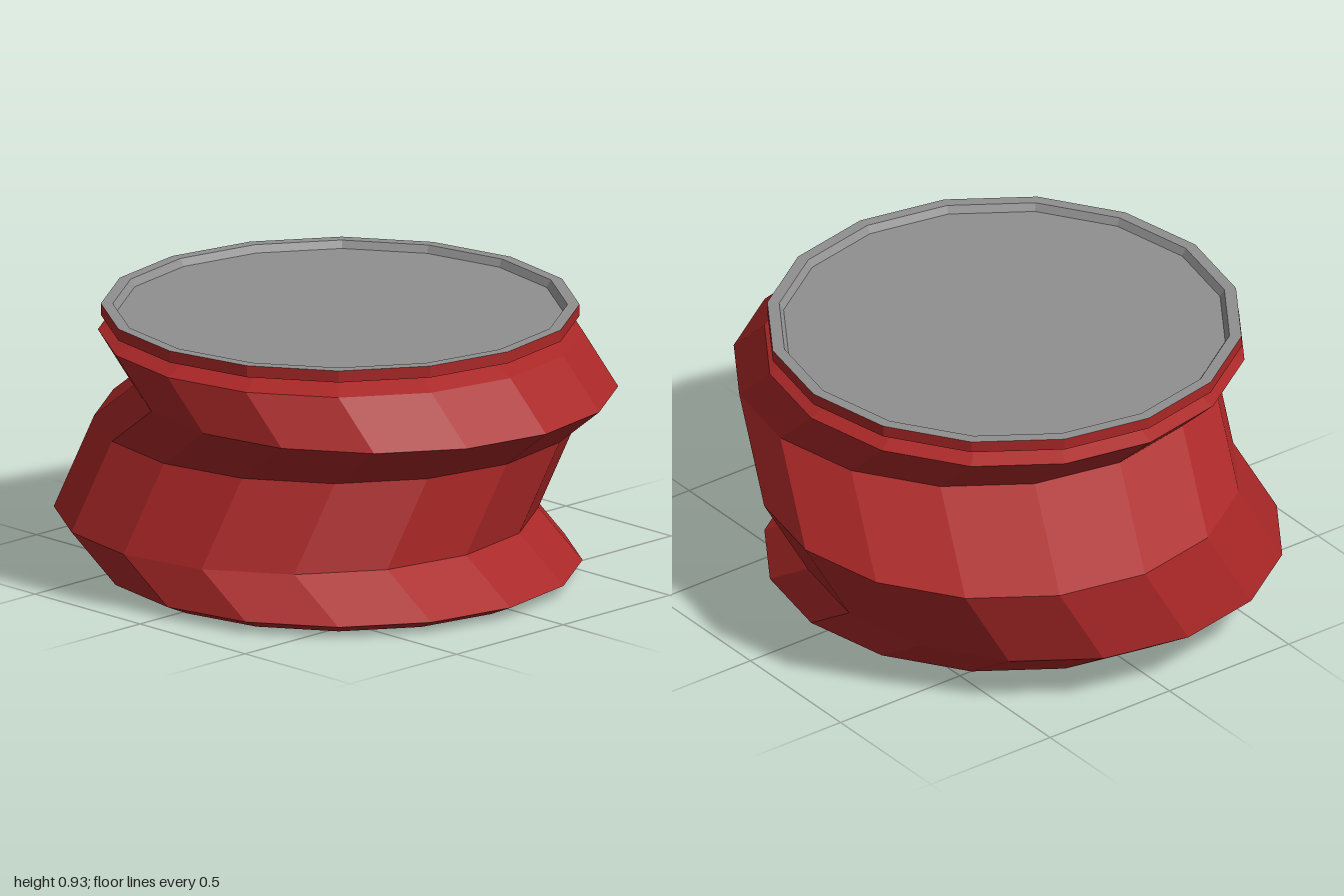
import * as THREE from 'three';

const SIDES = 16;
const R = 0.81;

// Surface through a stack of 16-sided rings, each [x, y, z, radius], bottom to top
function loft(rings) {
  const pos = [];
  const point = ([x, y, z, r], i) => {
    const a = (i / SIDES) * Math.PI * 2;
    return [x + Math.sin(a) * r, y, z + Math.cos(a) * r];
  };
  for (let k = 0; k < rings.length - 1; k++) {
    for (let i = 0; i < SIDES; i++) {
      const a = point(rings[k], i), b = point(rings[k], i + 1);
      const c = point(rings[k + 1], i + 1), d = point(rings[k + 1], i);
      if (rings[k][3] > 0) pos.push(...a, ...b, ...c);
      if (rings[k + 1][3] > 0) pos.push(...a, ...c, ...d);
    }
  }
  const geo = new THREE.BufferGeometry();
  geo.setAttribute('position', new THREE.Float32BufferAttribute(pos, 3));
  geo.computeVertexNormals();
  return geo;
}

export function createModel() {
  const red = new THREE.MeshStandardMaterial({ color: 0xaa2727 });
  red.name = 'red paint';
  const grey = new THREE.MeshStandardMaterial({ color: 0x909090 });
  grey.name = 'grey metal';

  const group = new THREE.Group();
  group.name = 'crushedCan';
  const add = (name, rings, material) => {
    const mesh = new THREE.Mesh(loft(rings), material);
    mesh.name = name;
    group.add(mesh);
  };

  // Crumpled wall: equal rings pushed sideways
  const cx = 0.02, cz = 0.08;
  add('crumpledBody', [
    [cx, 0, cz, 0.72],
    [cx, 0.04, cz, R],
    [-0.19, 0.18, cz, R],
    [-0.16, 0.47, -0.08, R],
    [0.19, 0.68, cz, R],
    [cx, 0.84, cz, R],
    [cx, 0.873, cz, 0.735],
  ], red);

  // Red band around the rim
  add('rimBand', [
    [cx, 0.873, cz, 0.735],
    [cx, 0.89, cz, 0.8],
    [cx, 0.93, cz, 0.8],
  ], red);

  // Rim top, sloped inner wall and recessed lid
  add('lid', [
    [cx, 0.93, cz, 0.8],
    [cx, 0.93, cz, 0.76],
    [cx, 0.905, cz, 0.745],
    [cx, 0.905, cz, 0],
  ], grey);

  // Flat base
  add('base', [
    [cx, 0, cz, 0],
    [cx, 0, cz, 0.72],
  ], grey);

  return group;
}
